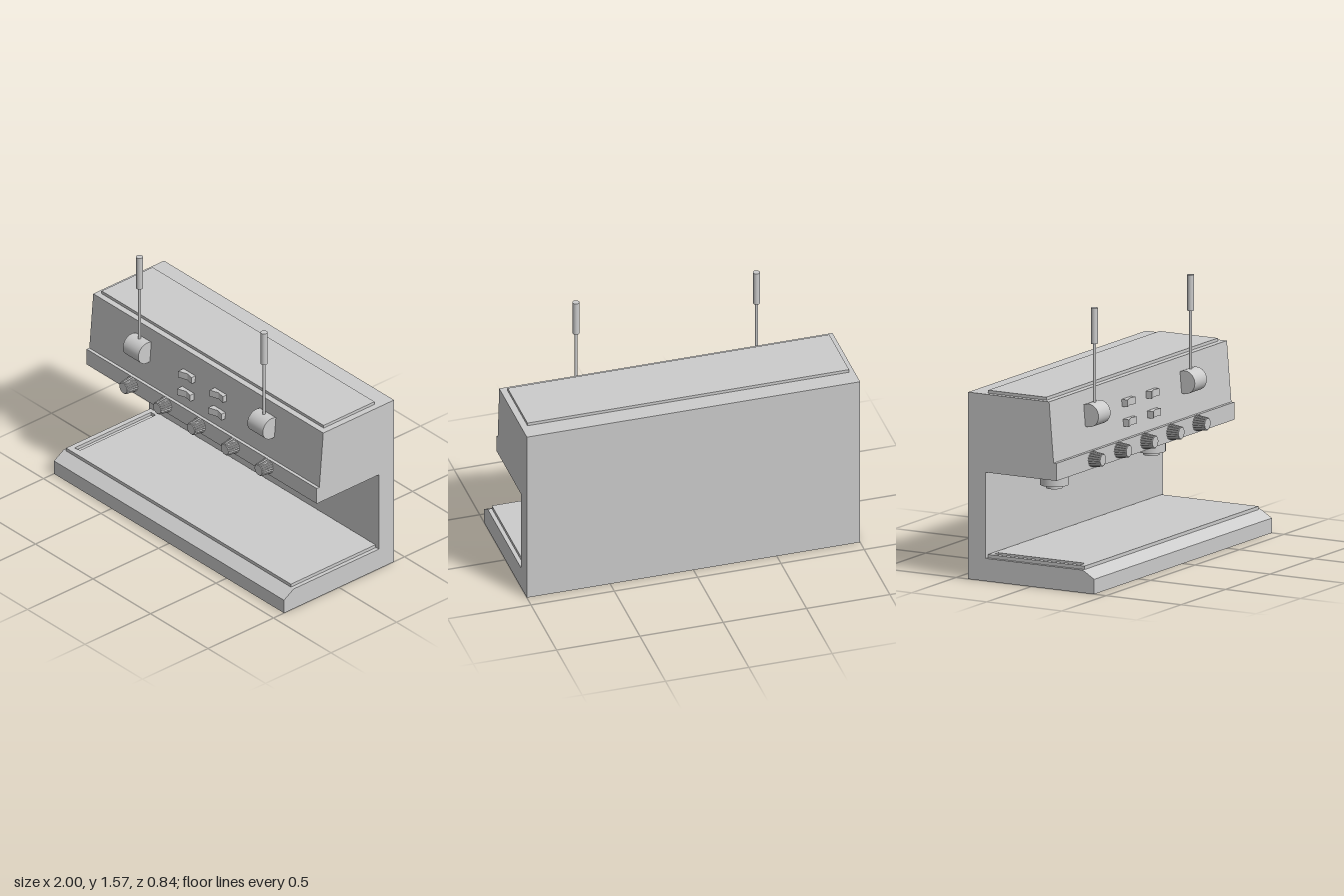
import * as THREE from 'three';

const grey = new THREE.MeshStandardMaterial({ color: 0xcccccc });
const flatGrey = new THREE.MeshStandardMaterial({ color: 0xcccccc, flatShading: true });

function add(parent, name, geometry, x = 0, y = 0, z = 0, material = grey) {
  const mesh = new THREE.Mesh(geometry, material);
  mesh.name = name;
  mesh.position.set(x, y, z);
  parent.add(mesh);
  return mesh;
}

const polygon = (pts) => new THREE.Shape(pts.map(([a, b]) => new THREE.Vector2(a, b)));
const extrude = (shape, depth) => new THREE.ExtrudeGeometry(shape, { depth, bevelEnabled: false });

// Lever: horizontal hub, thin rod and grip
function createLever() {
  const lever = new THREE.Group();
  lever.name = 'lever';
  add(lever, 'leverHub', new THREE.CylinderGeometry(0.068, 0.068, 0.135, 40).rotateZ(Math.PI / 2));
  add(lever, 'leverRod', new THREE.CylinderGeometry(0.009, 0.009, 0.36, 16), 0, 0.24);
  add(lever, 'leverGrip', new THREE.CylinderGeometry(0.02, 0.02, 0.21, 24), 0, 0.515);
  return lever;
}

// Brew head: stacked discs, given as [top radius, bottom radius, top y, bottom y]
function createBrewHead() {
  const head = new THREE.Group();
  head.name = 'brewHead';
  const tiers = [
    [0.14, 0.14, 0.64, 0.598],
    [0.115, 0.098, 0.598, 0.57],
    [0.083, 0.083, 0.57, 0.51],
    [0.048, 0.048, 0.51, 0.49],
  ];
  for (const [rt, rb, top, bottom] of tiers) {
    add(head, 'brewHeadTier', new THREE.CylinderGeometry(rt, rb, top - bottom, 48), 0, (top + bottom) / 2);
  }
  return head;
}

// Knob: tapered, with grooves round the grip and a plain face
function createKnob() {
  const knob = new THREE.Group();
  knob.name = 'knob';
  const teeth = 18;
  const grip = new THREE.Shape();
  for (let i = 0; i < teeth * 4; i++) {
    const a = (i / (teeth * 4)) * Math.PI * 2;
    const r = i % 4 < 2 ? 0.047 : 0.041;
    grip[i ? 'lineTo' : 'moveTo'](r * Math.cos(a), r * Math.sin(a));
  }
  const geometry = extrude(grip, 0.07);
  const p = geometry.attributes.position;
  for (let i = 0; i < p.count; i++) {
    const s = 1 - 0.18 * (p.getZ(i) / 0.07);
    p.setXY(i, p.getX(i) * s, p.getY(i) * s);
  }
  geometry.computeVertexNormals();
  add(knob, 'knobGrip', geometry, 0, 0, 0, flatGrey);
  add(knob, 'knobFace', new THREE.CylinderGeometry(0.033, 0.033, 0.012, 32).rotateX(Math.PI / 2), 0, 0, 0.069);
  return knob;
}

export function createModel() {
  const model = new THREE.Group();
  model.name = 'espressoMachine';

  // Body: one side profile (z, y) run across the full width
  const profile = polygon([
    [-0.42, 0], [0.42, 0], [0.42, 0.087], [0.345, 0.133], [-0.305, 0.133], [-0.305, 0.637],
    [0.17, 0.637], [0.17, 0.74], [0.15, 0.74], [0.12, 1.095], [-0.42, 1.095],
  ]);
  add(model, 'body', extrude(profile, 2).translate(0, 0, -1).rotateY(-Math.PI / 2));

  // Top panel
  add(model, 'topPanel', new THREE.BoxGeometry(1.93, 0.03, 0.388), -0.004, 1.098, -0.111);

  // Drip tray with a drain slot at one end
  const tray = polygon([[-0.98, -0.345], [0.975, -0.345], [0.975, 0.3], [-0.98, 0.3]]);
  tray.holes.push(new THREE.Path([
    [-0.948, -0.31], [-0.948, 0.275], [-0.908, 0.275], [-0.908, -0.3],
  ].map(([a, b]) => new THREE.Vector2(a, b))));
  add(model, 'dripTray', extrude(tray, 0.02).rotateX(-Math.PI / 2), 0, 0.133);

  // Levers and brew heads
  for (const [leverX, headX] of [[-0.555, -0.563], [0.528, 0.528]]) {
    const lever = createLever();
    lever.position.set(leverX, 0.951, 0.158);
    const head = createBrewHead();
    head.position.set(headX, 0, -0.104);
    model.add(lever, head);
  }

  // Row of knobs
  for (let i = 0; i < 5; i++) {
    const knob = createKnob();
    knob.position.set(-0.6 + i * 0.294, 0.695, 0.168);
    model.add(knob);
  }

  // Rocker switches with a dipped front
  const rocker = polygon([[-0.052, -0.02], [0.052, -0.02], [0.052, 0.028], [0.005, 0.018], [-0.052, 0.038]]);
  for (const x of [-0.151, 0.121]) {
    for (const [y, z] of [[0.947, 0.133], [0.832, 0.143]]) {
      add(model, 'rockerSwitch', extrude(rocker, 0.042).translate(0, 0, -0.021).rotateX(Math.PI / 2), x, y, z);
    }
  }
  return model;
}
